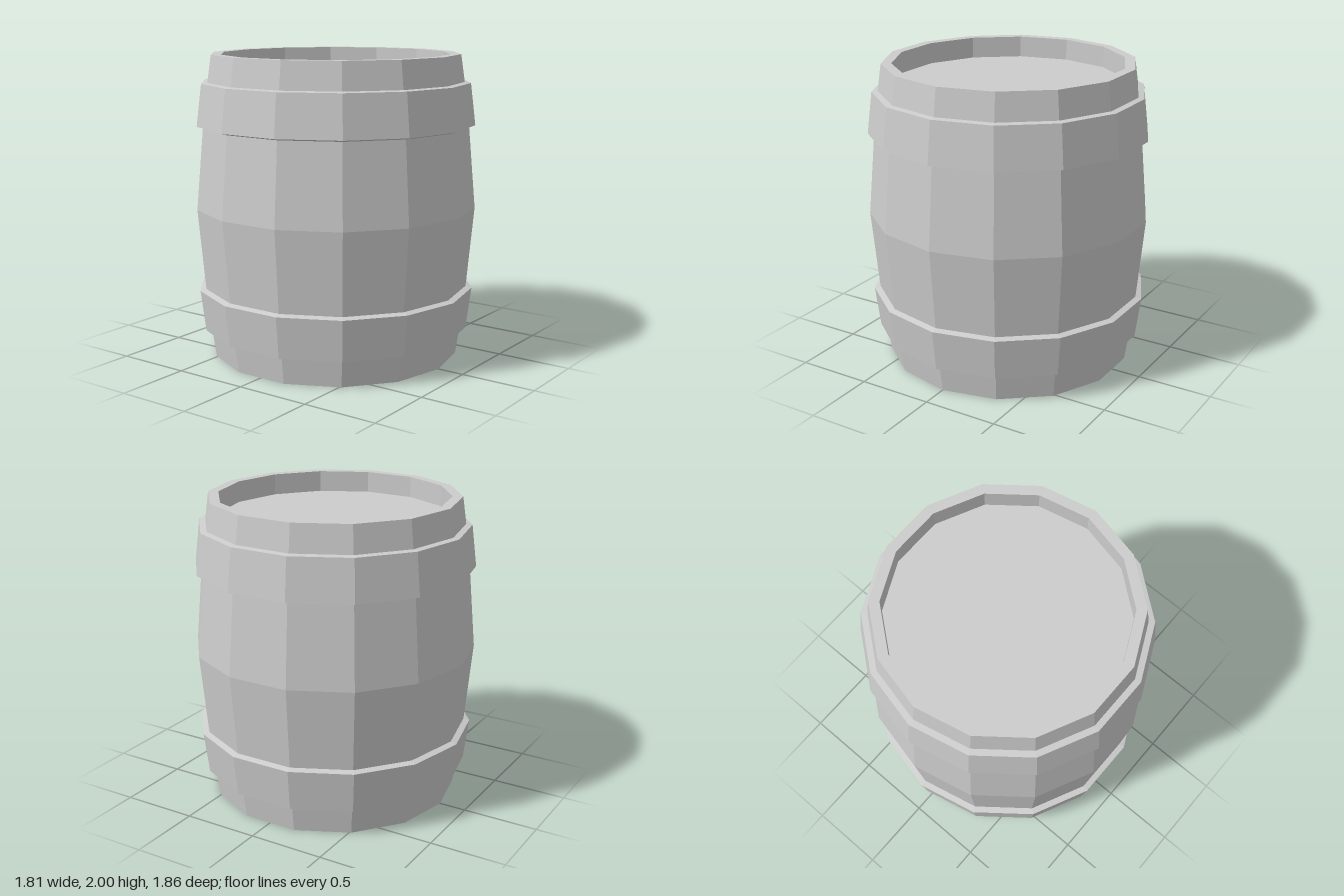
import * as THREE from 'three';

const SIDES = 14;

export function createModel() {
  const group = new THREE.Group();
  group.name = 'barrel';
  const grey = new THREE.MeshStandardMaterial({ color: 0xcccccc, flatShading: true });
  grey.name = 'plain grey';

  // Faceted solid of revolution from [radius, height] pairs, bottom to top
  const turned = (name, profile) => {
    const points = profile.map(([r, y]) => new THREE.Vector2(r, y));
    const mesh = new THREE.Mesh(new THREE.LatheGeometry(points, SIDES), grey);
    mesh.name = name;
    group.add(mesh);
  };

  // Mirror a lower-half profile about mid height
  const flip = (profile) => profile.map(([r, y]) => [r, 2 - y]).reverse();

  // Staves with rims and recessed lids at both ends
  const lowerHalf = [[0, 0.14], [0.755, 0.14], [0.755, 0], [0.822, 0], [0.87, 0.33]];
  turned('body', [...lowerHalf, [0.93, 1], ...flip(lowerHalf)]);

  // Hoops, ends sunk slightly into the staves
  const hoop = [[0.84, 0.176], [0.888, 0.183], [0.922, 0.456], [0.874, 0.47]];
  turned('lowerHoop', hoop);
  turned('upperHoop', flip(hoop));

  return group;
}
